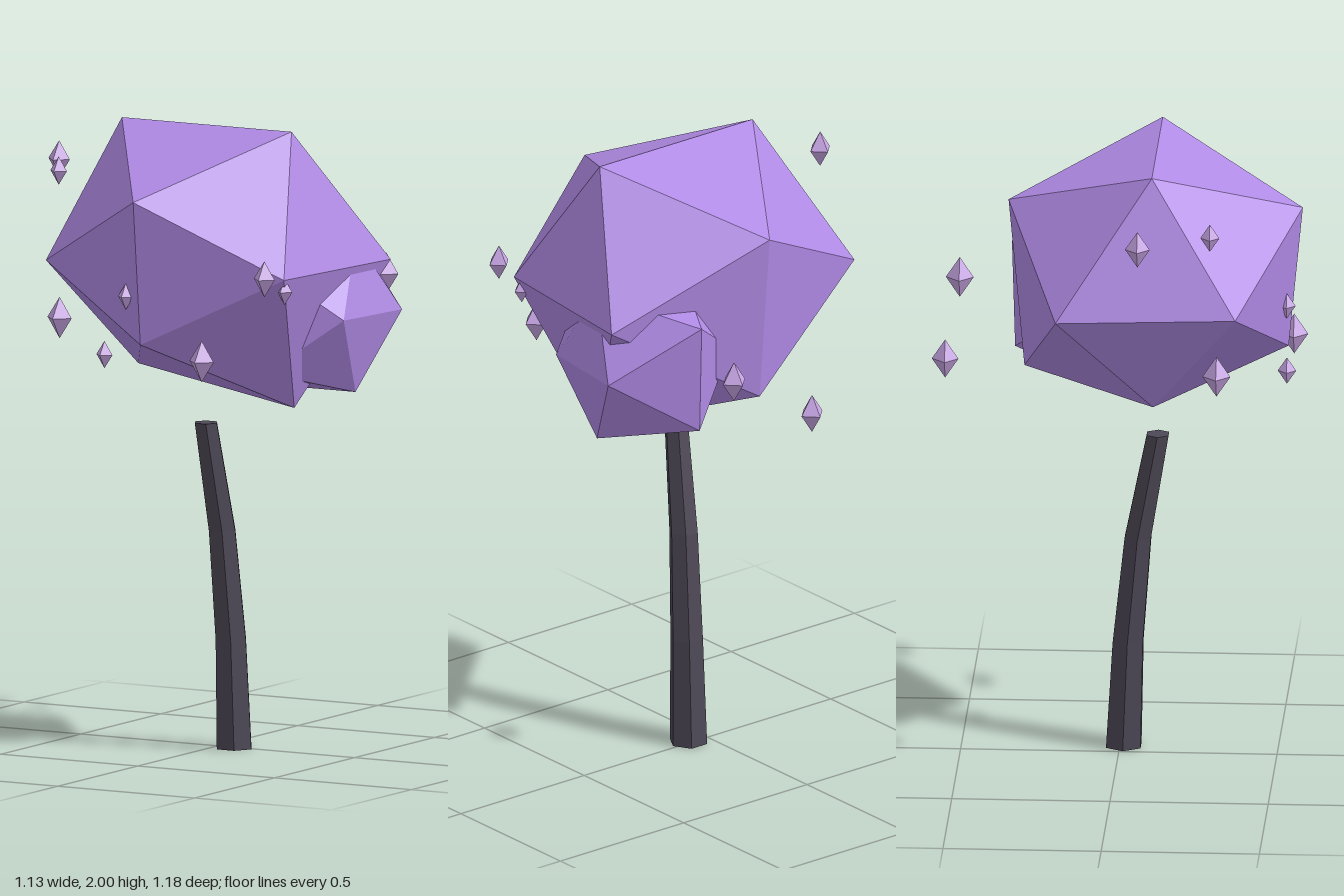
import * as THREE from 'three';
import { ConvexGeometry } from 'three/addons/geometries/ConvexGeometry.js';

const material = (color) => new THREE.MeshStandardMaterial({ color, flatShading: true });

// Irregular twenty-sided clump, hulled from its twelve corners
function clump(name, corners, mat) {
  const mesh = new THREE.Mesh(new ConvexGeometry(corners.map((c) => new THREE.Vector3(...c))), mat);
  mesh.name = name;
  return mesh;
}

// Bent, tapering six-sided trunk: rings are [x, y, z, radius]
function trunkGeometry(rings) {
  const geo = new THREE.CylinderGeometry(1, 1, 1, 6, rings.length - 1);
  geo.rotateY(Math.PI / 6);
  const p = geo.attributes.position;
  for (let i = 0; i < p.count; i++) {
    const [x, y, z, r] = rings[Math.round((p.getY(i) + 0.5) * (rings.length - 1))];
    p.setXYZ(i, x + p.getX(i) * r, y, z + p.getZ(i) * r);
  }
  geo.computeVertexNormals();
  return geo;
}

export function createModel() {
  const model = new THREE.Group();
  const leaf = material(0xb18be6);
  const bark = material(0x4d4856);
  const crystal = material(0xc9a6e6);

  // Trunk
  const trunk = new THREE.Mesh(trunkGeometry([
    [0.067, 0, 0.012, 0.063],
    [0.063, 0.35, 0.026, 0.055],
    [0.05, 0.7, 0.058, 0.048],
    [0.028, 1.05, 0.122, 0.04],
  ]), bark);
  trunk.name = 'trunk';
  model.add(trunk);

  // Main crown
  model.add(clump('mainCrown', [
    [-0.28, 2, 0.12], [0.34, 2, 0.12], [-0.22, 1.22, 0.12], [0.35, 1.12, 0.12],
    [0.03, 1.35, 0.535], [0.03, 1.81, 0.58], [0.03, 1.27, -0.3], [0.03, 1.82, -0.35],
    [0.53, 1.57, -0.175], [0.47, 1.57, 0.39], [-0.455, 1.57, -0.175], [-0.4, 1.57, 0.39],
  ], leaf));

  // Smaller crown at the back left
  model.add(clump('sideCrown', [
    [0.14, 1.65, -0.04], [0.48, 1.65, -0.04], [0.15, 1.16, -0.04], [0.48, 1.16, -0.04],
    [0.31, 1.24, 0.23], [0.31, 1.58, 0.23], [0.31, 1.24, -0.345], [0.31, 1.59, -0.355],
    [0.56, 1.41, -0.195], [0.525, 1.41, 0.11], [0.06, 1.41, -0.19], [0.1, 1.41, 0.1],
  ], leaf));

  // Floating crystals: [x, y, z, radius]
  const crystals = new THREE.Group();
  crystals.name = 'floatingCrystals';
  const shape = new THREE.OctahedronGeometry(1);
  [
    [0.02, 1.29, -0.55, 0.042], [0.312, 1.465, -0.52, 0.044],
    [-0.528, 1.845, 0.088, 0.039], [-0.4, 1.845, 0.31, 0.03],
    [-0.385, 1.38, 0.33, 0.044], [-0.025, 1.5, 0.532, 0.028],
    [-0.1, 1.31, 0.537, 0.029], [0.257, 1.315, 0.54, 0.044],
    [0.454, 1.585, 0.485, 0.038], [0.458, 1.53, 0.365, 0.028],
  ].forEach(([x, y, z, r], i) => {
    const mesh = new THREE.Mesh(shape, crystal);
    mesh.name = `crystal${i + 1}`;
    mesh.position.set(x, y, z);
    mesh.scale.set(r, r * 1.5, r);
    crystals.add(mesh);
  });
  model.add(crystals);
  return model;
}
